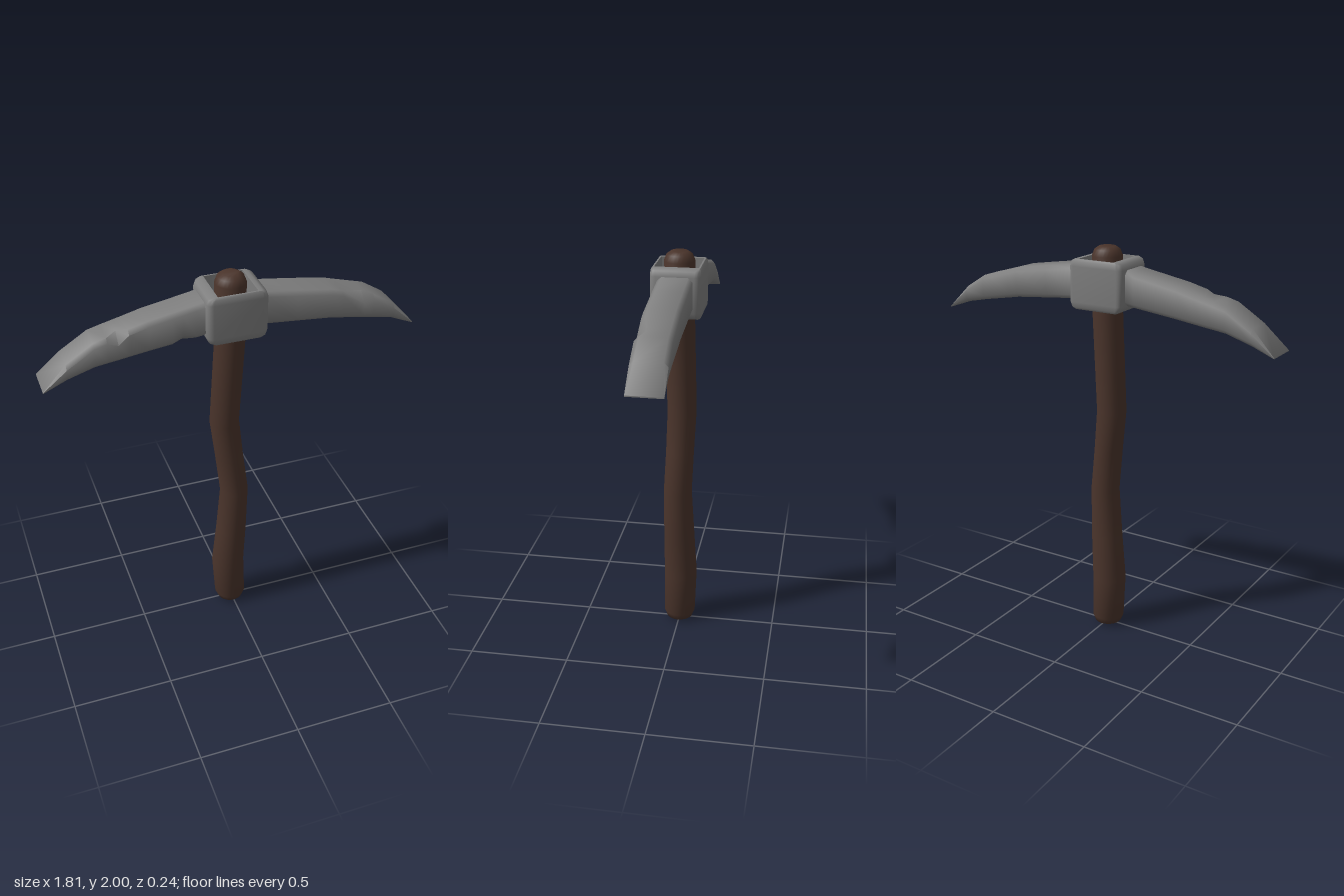
import * as THREE from 'three';
import { toCreasedNormals } from 'three/addons/utils/BufferGeometryUtils.js';

const steel = new THREE.MeshStandardMaterial({ color: 0x7f7f7f });
steel.name = 'steel grey';
const wood = new THREE.MeshStandardMaterial({ color: 0x4a342b });
wood.name = 'dark brown wood';

// Skin a list of rings (counter-clockwise about the direction of travel), with optional end caps
function loft(rings, caps, crease) {
  const n = rings[0].length;
  const points = rings.flat();
  const index = [];
  for (let i = 0; i < rings.length - 1; i++) {
    for (let j = 0; j < n; j++) {
      const a = i * n + j, b = i * n + (j + 1) % n;
      index.push(a, b, b + n, a, b + n, a + n);
    }
  }
  if (caps) {
    const end = (rings.length - 1) * n;
    for (let j = 1; j < n - 1; j++) {
      index.push(0, j + 1, j, end, end + j, end + j + 1);
    }
  }
  const geometry = new THREE.BufferGeometry();
  geometry.setAttribute('position', new THREE.Float32BufferAttribute(points.flat(), 3));
  geometry.setIndex(index);
  return toCreasedNormals(geometry, crease);
}

function part(name, geometry, material) {
  const mesh = new THREE.Mesh(geometry, material);
  mesh.name = name;
  return mesh;
}

// Crooked round shaft with softened ends: [y, centre x, centre z, radius]
function handleGeometry() {
  const stations = [
    [0, -0.005, 0, 0.045], [0.012, -0.005, 0, 0.068], [0.045, -0.006, 0, 0.081],
    [0.27, -0.015, -0.004, 0.085], [0.5, 0.002, 0.001, 0.079], [0.76, 0.016, 0.007, 0.072],
    [0.98, -0.008, -0.001, 0.071], [1.19, -0.03, -0.008, 0.073], [1.68, -0.002, 0, 0.074],
    [1.955, 0, 0, 0.074], [1.985, 0, 0, 0.062], [2, 0, 0, 0.04],
  ];
  const sides = 24;
  const rings = stations.map(([y, cx, cz, r]) => Array.from({ length: sides }, (_, j) => {
    const t = (j / sides) * Math.PI * 2;
    return [cx + r * Math.cos(t), y, cz - r * Math.sin(t)];
  }));
  return loft(rings, true, 0.95);
}

// Rectangle with rounded corners, lying flat at height y
function roundedRing(y, hx, hz, r) {
  const ring = [];
  const signs = [[1, 1], [-1, 1], [-1, -1], [1, -1]];
  signs.forEach(([sx, sz], q) => {
    for (let k = 0; k <= 4; k++) {
      const t = (q + k / 4) * Math.PI / 2;
      ring.push([sx * (hx - r) + r * Math.cos(t), y, -sz * (hz - r) - r * Math.sin(t)]);
    }
  });
  return ring;
}

// Square socket, open from top to bottom
function collarGeometry() {
  const lo = 1.705, hi = 1.945;
  const hole = (y) => roundedRing(y, 0.095, 0.104, 0.003);
  return loft([
    hole(lo), roundedRing(lo, 0.115, 0.112, 0.012), roundedRing(lo + 0.01, 0.137, 0.118, 0.025),
    roundedRing(lo + 0.035, 0.147, 0.12, 0.03), roundedRing(hi - 0.035, 0.147, 0.12, 0.03),
    roundedRing(hi - 0.01, 0.137, 0.118, 0.025), roundedRing(hi, 0.115, 0.112, 0.012),
    hole(hi), hole(lo),
  ], false, 0.9);
}

// Tapering bevelled blade: [x, top, bottom, chip in upper front edge, chip in lower front edge]
function bladeGeometry(sections) {
  const h = 0.083;
  const rings = sections.map(([x, top, bot, chipTop = 0, chipBot = 0]) => {
    const b = Math.min(0.02, (top - bot) * 0.25);
    return [
      [x, top, b - h], [x, top, h - b - chipTop], [x, top - b - chipTop, h],
      [x, bot + b + chipBot, h], [x, bot, h - b - chipBot], [x, bot, b - h],
      [x, bot + b, -h], [x, top - b, -h],
    ];
  });
  return loft(rings, true, 0.9);
}

export function createModel() {
  const model = new THREE.Group();
  model.name = 'pickaxe';
  model.add(part('handle', handleGeometry(), wood));

  const head = new THREE.Group();
  head.name = 'head';
  head.add(part('collar', collarGeometry(), steel));
  head.add(part('rightBlade', bladeGeometry([
    [-0.905, 1.603, 1.598], [-0.79, 1.715, 1.636], [-0.66, 1.797, 1.676],
    [-0.6, 1.813, 1.684], [-0.55, 1.825, 1.69, 0.03], [-0.5, 1.837, 1.697],
    [-0.41, 1.86, 1.709], [-0.3, 1.88, 1.722], [-0.25, 1.889, 1.728, 0, 0.022],
    [-0.19, 1.9, 1.735], [-0.13, 1.912, 1.742],
  ]), steel));
  head.add(part('leftBlade', bladeGeometry([
    [0.13, 1.912, 1.745], [0.3, 1.888, 1.729], [0.48, 1.86, 1.712], [0.53, 1.845, 1.703],
    [0.64, 1.814, 1.684, 0.028], [0.69, 1.8, 1.675], [0.8, 1.732, 1.652], [0.905, 1.62, 1.614],
  ]), steel));
  model.add(head);
  return model;
}
